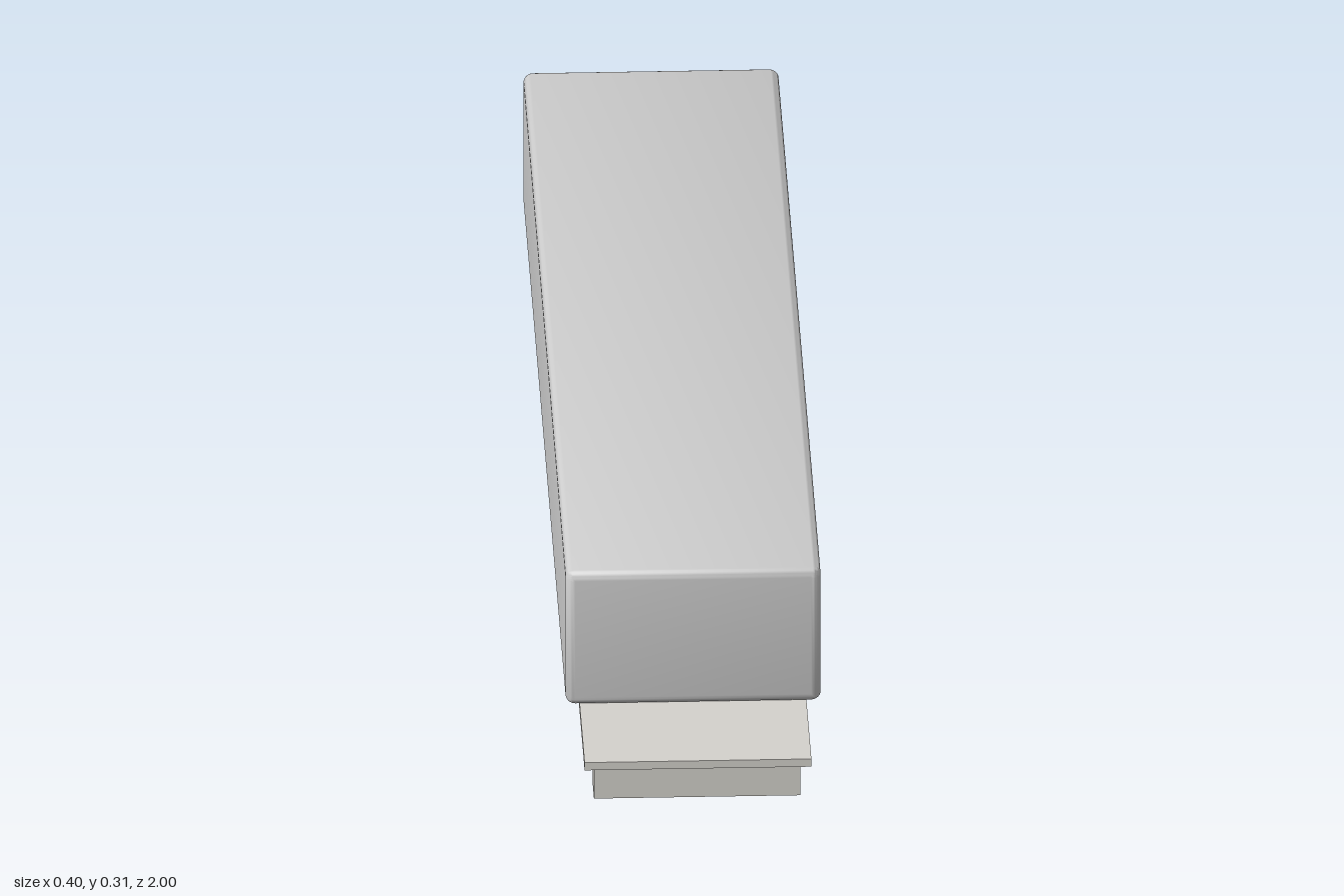
import * as THREE from 'three';
import { toCreasedNormals } from 'three/addons/utils/BufferGeometryUtils.js';

const grey = new THREE.MeshStandardMaterial({ color: 0xcccccc });
const warm = new THREE.MeshStandardMaterial({ color: 0xd5d3cd });

const BODY = { z0: -1, z1: 0.8, y0: 0.082, y1: 0.315, x: 0.2, r: 0.015 };

// Box given by its limits on each axis
function box(name, [x0, x1], [y0, y1], [z0, z1], material) {
  const mesh = new THREE.Mesh(new THREE.BoxGeometry(x1 - x0, y1 - y0, z1 - z0), material);
  mesh.position.set((x0 + x1) / 2, (y0 + y1) / 2, (z0 + z1) / 2);
  mesh.name = name;
  return mesh;
}

// Rounded-rectangle loop in the plane of a given x, shrunk by an inset
function loop(x, inset, steps) {
  const { z0, z1, y0, y1, r } = BODY;
  const radius = Math.max(r - inset, 0.0005);
  const k = inset + radius;
  const centres = [[z1 - k, y1 - k], [z0 + k, y1 - k], [z0 + k, y0 + k], [z1 - k, y0 + k]];
  const points = [];
  centres.forEach(([z, y], c) => {
    for (let i = 0; i <= steps; i++) {
      const a = (c + i / steps) * Math.PI / 2;
      points.push(new THREE.Vector3(x, y + radius * Math.sin(a), z + radius * Math.cos(a)));
    }
  });
  return points;
}

// Cabinet shell: rounded on every edge, with a shallow recess on the door side
function shellGeometry() {
  const { x, r } = BODY, steps = 6, sections = [];
  for (let i = 0; i <= steps; i++) {
    const a = (i / steps) * Math.PI / 2;
    sections.push(loop(-x + r - r * Math.cos(a), r * (1 - Math.sin(a)), steps));
  }
  for (let i = 0; i <= steps; i++) {
    const a = (i / steps) * Math.PI / 2 * 0.8;
    sections.push(loop(x - r + r * Math.sin(a) / Math.sin(Math.PI * 0.4), r * (1 - Math.cos(a)), steps));
  }
  sections.push(loop(x, 0.012, steps), loop(0.178, 0.012, steps));
  const n = sections[0].length;
  const positions = sections.flat().flatMap(p => p.toArray());
  const index = [];
  for (let s = 0; s < sections.length - 1; s++) {
    for (let i = 0; i < n; i++) {
      const a = s * n + i, b = s * n + (i + 1) % n;
      index.push(a, a + n, b, b, a + n, b + n);
    }
  }
  // Plain back panel and recess floor
  const last = (sections.length - 1) * n;
  for (let i = 1; i < n - 1; i++) {
    index.push(0, i, i + 1, last, last + i + 1, last + i);
  }
  const geometry = new THREE.BufferGeometry();
  geometry.setAttribute('position', new THREE.Float32BufferAttribute(positions, 3));
  geometry.setIndex(index);
  return toCreasedNormals(geometry, 0.6);
}

export function createModel() {
  const model = new THREE.Group();
  model.name = 'lowCabinet';

  const shell = new THREE.Mesh(shellGeometry(), grey.clone());
  shell.material.side = THREE.DoubleSide;
  shell.name = 'cabinetShell';
  model.add(shell);

  // Three door panels in the recess
  [[0.201, 0.785], [-0.384, 0.188], [-0.985, -0.4]].forEach((z, i) => {
    model.add(box('door' + (i + 1), [0.176, 0.195], [0.114, 0.301], z, grey));
  });

  // Dividers between the doors and the rail below them
  for (const z of [0.1945, -0.392]) {
    model.add(box('divider', [0.176, 0.189], [0.094, 0.303], [z - 0.004, z + 0.004], grey));
  }
  model.add(box('bottomRail', [0.176, 0.19], [0.099, 0.109], [-0.987, 0.787], grey));

  // Base plate extending past the front, on two cross feet
  model.add(box('basePlate', [-0.178, 0.178], [0.068, 0.0815], [-0.65, 1], warm));
  for (const z of [0.938, -0.572]) {
    model.add(box('foot', [-0.162, 0.162], [0, 0.068], [z - 0.024, z + 0.024], warm));
  }
  return model;
}
